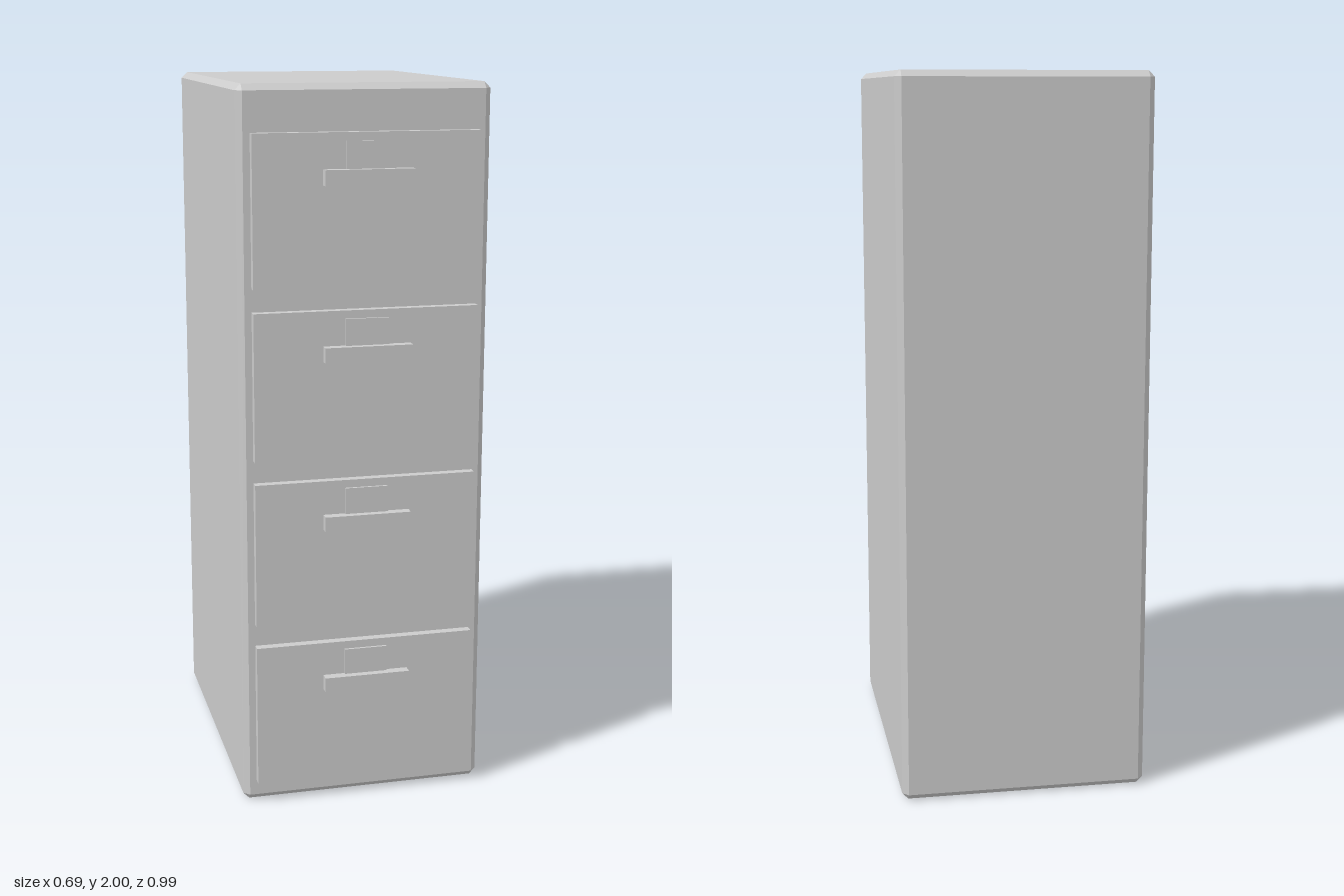
import * as THREE from 'three';

const material = new THREE.MeshStandardMaterial({ color: 0xcccccc, flatShading: true });
const shellMaterial = new THREE.MeshStandardMaterial({ color: 0xcccccc, flatShading: true, side: THREE.DoubleSide });

// Box given by its extents: x is symmetric, y and z run from low to high
function box(name, halfWidth, y0, y1, z0, z1) {
  const mesh = new THREE.Mesh(new THREE.BoxGeometry(2 * halfWidth, y1 - y0, z1 - z0), material);
  mesh.position.set(0, (y0 + y1) / 2, (z0 + z1) / 2);
  mesh.name = name;
  return mesh;
}

// Thin-walled cabinet with chamfered edges, closed on top and open underneath
function cabinetShell(halfX, zBack, zFront, height, c) {
  const x = halfX - c, zf = zFront - c, zb = zBack + c;
  const corners = [[x, zf, 1, 1], [x, zb, 1, -1], [-x, zb, -1, -1], [-x, zf, -1, 1]];
  // Each corner gives two points, pushed out along one axis each
  const ring = (y, out) => corners.flatMap(([px, pz, sx, sz], i) => {
    const alongX = [px + sx * out, y, pz];
    const alongZ = [px, y, pz + sz * out];
    return i % 2 === 0 ? [alongZ, alongX] : [alongX, alongZ];
  });
  const rings = [ring(0, 0), ring(c, c), ring(height - c, c), ring(height, 0)];
  const positions = [];
  const quad = (a, b, d, e) => positions.push(...a, ...b, ...d, ...a, ...d, ...e);
  for (let r = 0; r < 3; r++) {
    const low = rings[r], high = rings[r + 1];
    for (let i = 0; i < 8; i++) {
      const j = (i + 1) % 8;
      if (i % 2 === 0 && r === 0) positions.push(...low[i], ...high[j], ...high[i]);
      else if (i % 2 === 0 && r === 2) positions.push(...low[i], ...low[j], ...high[i]);
      else quad(low[i], low[j], high[j], high[i]);
    }
  }
  const top = rings[3];
  quad(top[0], top[2], top[4], top[6]);
  const geometry = new THREE.BufferGeometry();
  geometry.setAttribute('position', new THREE.Float32BufferAttribute(positions, 3));
  geometry.computeVertexNormals();
  return geometry;
}

export function createModel() {
  const model = new THREE.Group();
  model.name = 'filingCabinet';

  const shell = new THREE.Mesh(cabinetShell(0.346, -0.495, 0.443, 2, 0.017), shellMaterial);
  shell.name = 'cabinetShell';
  model.add(shell);

  // Four identical drawers, each with a front, a label plate and a handle
  for (let i = 0; i < 4; i++) {
    const drawer = new THREE.Group();
    drawer.name = `drawer${i + 1}`;
    drawer.position.y = 0.06 + i * 0.4695;
    drawer.add(
      box('drawerFront', 0.31, 0, 0.407, 0.43, 0.468),
      box('labelPlate', 0.06, 0.31, 0.385, 0.46, 0.475),
      box('handle', 0.121, 0.27, 0.312, 0.465, 0.495)
    );
    model.add(drawer);
  }
  return model;
}
